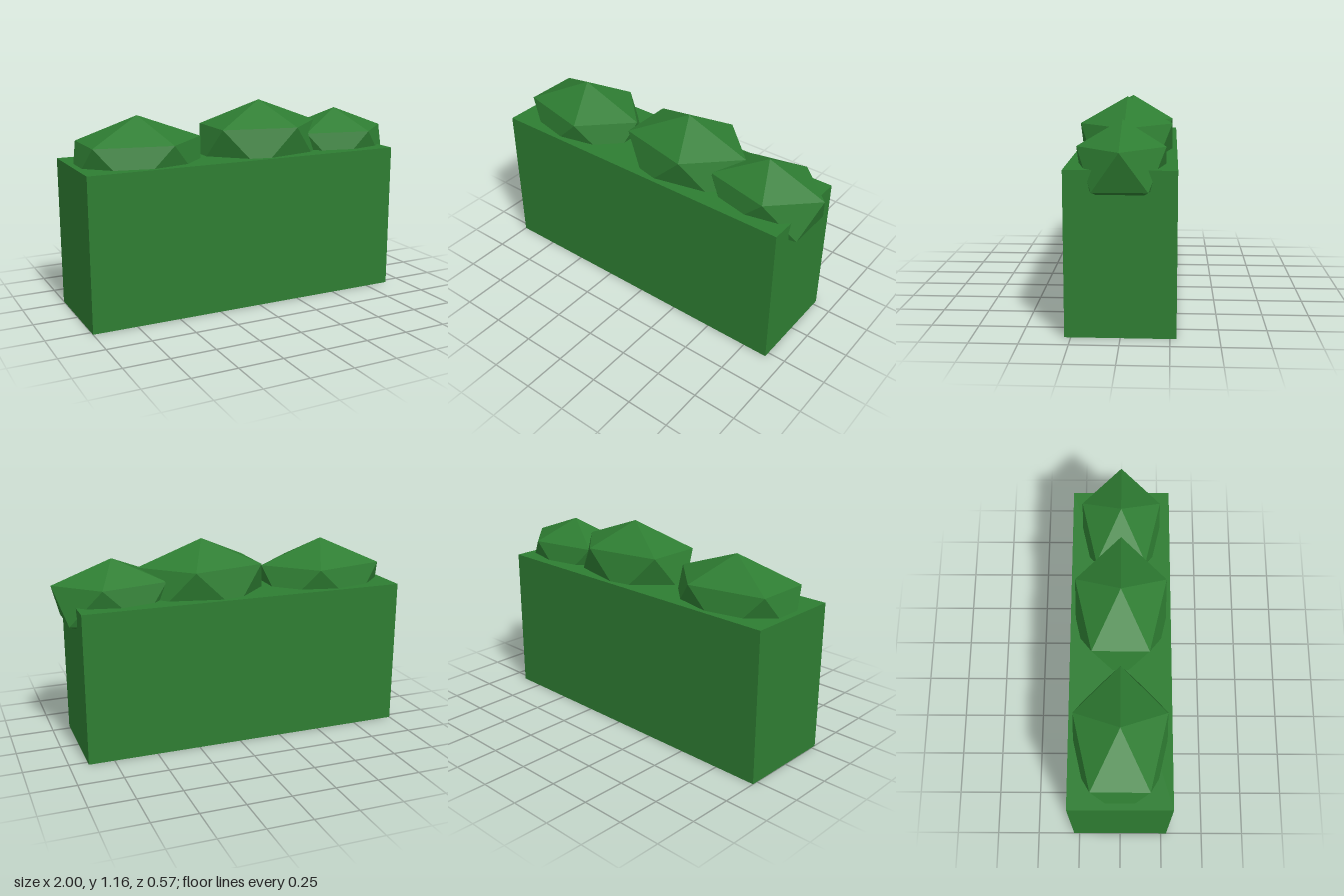
import * as THREE from 'three';

export function createModel() {
  const model = new THREE.Group();
  model.name = 'hedge';
  const leafGreen = new THREE.MeshStandardMaterial({ color: 0x2e7d32 });
  leafGreen.name = 'leafGreen';

  // Clipped hedge body
  const body = new THREE.Mesh(new THREE.BoxGeometry(1.895, 0.855, 0.566), leafGreen);
  body.name = 'hedgeBody';
  body.position.set(-0.0525, 0.4275, 0);
  model.add(body);

  // Leafy clumps: stretched icosahedra with one corner straight up
  const clumpGeometry = new THREE.IcosahedronGeometry(1, 0);
  clumpGeometry.rotateZ(-Math.atan(2 / (1 + Math.sqrt(5))));
  const clumps = [
    { name: 'rightClump', at: [-0.62, 0.855, 0], size: [0.425, 0.255, 0.3] },
    { name: 'middleClump', at: [0.135, 0.902, 0], size: [0.425, 0.255, 0.3] },
    { name: 'leftClump', at: [0.66, 0.853, 0], size: [0.38, 0.228, 0.265] },
  ];
  for (const { name, at, size } of clumps) {
    const clump = new THREE.Mesh(clumpGeometry, leafGreen);
    clump.name = name;
    clump.position.set(...at);
    clump.scale.set(...size);
    model.add(clump);
  }
  return model;
}
